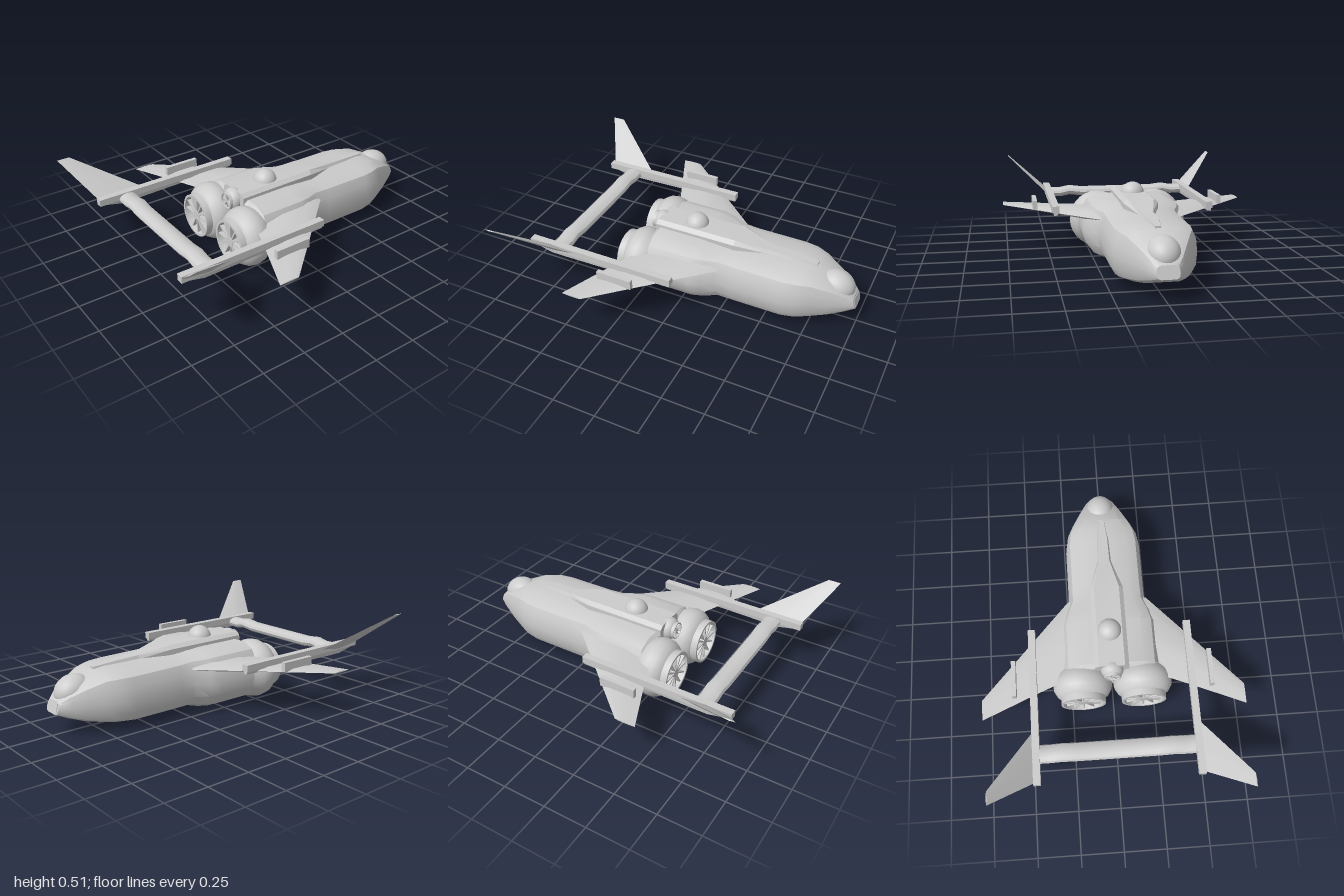
import * as THREE from 'three';
import { toCreasedNormals } from 'three/addons/utils/BufferGeometryUtils.js';

const material = new THREE.MeshStandardMaterial({ color: 0xcccccc, side: THREE.DoubleSide });

function part(parent, name, geometry, x = 0, y = 0, z = 0) {
  const mesh = new THREE.Mesh(geometry, material);
  mesh.name = name;
  mesh.position.set(x, y, z);
  parent.add(mesh);
  return mesh;
}

// Skin a row of closed rings of [x, y, z] points, with both ends capped.
function loft(rings, crease = 0.6) {
  const n = rings[0].length, pos = [], index = [];
  rings.forEach(r => r.forEach(p => pos.push(...p)));
  for (let i = 0; i < rings.length - 1; i++) {
    for (let j = 0; j < n; j++) {
      const a = i * n + j, b = i * n + (j + 1) % n;
      index.push(a, b, a + n, b, b + n, a + n);
    }
  }
  const last = (rings.length - 1) * n;
  for (let j = 1; j < n - 1; j++) {
    index.push(0, j + 1, j, last, last + j, last + j + 1);
  }
  // Turn the faces outward if the rings run the other way.
  const v = k => new THREE.Vector3(...pos.slice(k * 3, k * 3 + 3));
  let volume = 0;
  for (let k = 0; k < index.length; k += 3) {
    volume += v(index[k]).dot(v(index[k + 1]).cross(v(index[k + 2])));
  }
  if (volume < 0) index.reverse();
  const g = new THREE.BufferGeometry();
  g.setAttribute('position', new THREE.Float32BufferAttribute(pos, 3));
  g.setIndex(index);
  return toCreasedNormals(g, crease);
}

// Half sections as [share of width, share of height], bottom to top.
const noseShape = [[0, 0], [0.62, 0], [0.86, 0.07], [0.97, 0.22], [1, 0.45], [0.97, 0.7], [0.87, 0.88], [0.58, 0.98], [0, 1]];
const tailShape = [[0, 0], [0.55, 0], [0.8, 0.1], [0.95, 0.28], [1, 0.48], [0.95, 0.72], [0.82, 0.91], [0.6, 1], [0, 0.98]];

function hullRing([x, width, bottom, top, blend]) {
  const half = noseShape.map(([w, h], i) => {
    const z = THREE.MathUtils.lerp(w, tailShape[i][0], blend) * width;
    const y = bottom + THREE.MathUtils.lerp(h, tailShape[i][1], blend) * (top - bottom);
    return [x - (x > 0.95 ? (y - bottom) * 0.3 : 0), y, z];
  });
  return half.concat(half.slice(1, -1).reverse().map(([a, b, c]) => [a, b, -c]));
}

// Bulged engine with an open rear and spokes; it points along -x.
function engine(parent, name, y, z, r, x0, length) {
  const group = new THREE.Group();
  group.name = name;
  group.position.set(x0, y, z);
  parent.add(group);
  const profile = [[0.75, -0.15], [0.84, 0], [0.95, 0.14], [1, 0.35], [0.97, 0.55], [0.86, 0.72],
    [0.75, 0.79], [0.75, 1], [0.67, 1], [0.64, 0.8], [0, 0.76]];
  const shell = new THREE.LatheGeometry(profile.map(([a, b]) => new THREE.Vector2(a * r, b * length)), 28);
  part(group, 'engineShell', toCreasedNormals(shell, 0.6)).rotation.z = Math.PI / 2;
  for (let i = 0; i < 6; i++) {
    const spoke = new THREE.BoxGeometry(length * 0.14, r * 1.34, r * 0.05);
    part(group, 'engineSpoke', spoke, -length * 0.88).rotation.x = i * Math.PI / 6;
  }
  const hub = new THREE.CylinderGeometry(r * 0.16, r * 0.16, length * 0.2, 16);
  part(group, 'engineHub', hub, -length * 0.86).rotation.z = Math.PI / 2;
}

export function createModel() {
  const ship = new THREE.Group();
  ship.name = 'spaceship';

  // Hull stations: x, half width, bottom, top, blend toward the tail shape.
  part(ship, 'hull', loft([
    [-0.235, 0.28, 0.03, 0.34, 1], [-0.21, 0.31, 0.01, 0.36, 1], [0.06, 0.31, 0.01, 0.36, 1],
    [0.13, 0.285, 0.02, 0.355, 0.7], [0.21, 0.24, 0.04, 0.35, 0.2], [0.3, 0.235, 0.04, 0.345, 0],
    [0.6, 0.235, 0.04, 0.342, 0], [0.68, 0.222, 0.047, 0.34, 0], [0.75, 0.19, 0.057, 0.33, 0],
    [0.85, 0.14, 0.078, 0.285, 0], [0.93, 0.097, 0.105, 0.24, 0], [0.995, 0.06, 0.132, 0.2, 0],
  ].map(hullRing), 0.5));

  // Raised spine narrowing forward
  part(ship, 'spine', loft([
    [-0.24, 0.1, 0.395], [0.26, 0.1, 0.395], [0.45, 0.042, 0.36], [0.6, 0.038, 0.355], [0.74, 0.02, 0.342],
  ].map(([x, w, y]) => [[x, 0.28, w], [x, y - 0.02, w], [x, y, w * 0.75], [x, y, -w * 0.75], [x, y - 0.02, -w], [x, 0.28, -w]]), 0.3));

  // Cockpit canopy, nose intake and top turret
  const canopy = part(ship, 'canopy', new THREE.SphereGeometry(1, 28, 18), 0.862, 0.232, 0);
  canopy.scale.set(0.108, 0.088, 0.09);
  canopy.rotation.z = -0.3;
  part(ship, 'noseIntake', new THREE.BoxGeometry(0.03, 0.05, 0.09), 0.973, 0.163, 0).rotation.z = 0.29;
  part(ship, 'turret', new THREE.SphereGeometry(0.07, 28, 18), -0.015, 0.383, 0);

  engine(ship, 'topEngine', 0.335, 0, 0.067, -0.21, 0.085);

  for (const s of [1, -1]) {
    const side = s > 0 ? 'left' : 'right';
    engine(ship, side + 'Engine', 0.183, s * 0.18, 0.177, -0.21, 0.19);

    // Swept wing: z, leading x, trailing x, bottom, top
    part(ship, side + 'Wing', loft([
      [0.1, 0.26, -0.22, 0.25, 0.31], [0.24, 0.22, -0.26, 0.25, 0.305],
      [0.45, -0.01, -0.345, 0.258, 0.292], [0.77, -0.36, -0.48, 0.267, 0.274],
    ].map(([z, f, b, lo, hi]) => {
      const mid = (lo + hi) / 2, c = f - b;
      return [[f, mid, s * z], [f - c * 0.2, hi, s * z], [f - c * 0.6, hi, s * z],
        [b, mid, s * z], [f - c * 0.6, lo, s * z], [f - c * 0.2, lo, s * z]];
    }), 0.4));

    // Boom with its fairing, and the small pod on the wing
    part(ship, side + 'Boom', new THREE.BoxGeometry(0.92, 0.04, 0.042), -0.42, 0.305, s * 0.465);
    part(ship, side + 'BoomFairing', loft([
      [-0.88, 0.288], [-0.74, 0.257], [-0.65, 0.257], [0.035, 0.27],
    ].map(([x, y]) => [[x, 0.3, s * 0.448], [x, 0.3, s * 0.482], [x, y, s * 0.476], [x, y, s * 0.454]])));
    const pod = new THREE.BoxGeometry(0.215, 0.055, 0.026);
    part(ship, side + 'WingPod', pod, -0.255, 0.302, s * 0.578);

    // Canted tail fin
    part(ship, side + 'TailFin', loft([
      [0.47, 0.295, -0.56, -0.86, 0.012], [0.72, 0.51, -0.925, -1, 0.003],
    ].map(([z, y, f, b, t]) => [[f, y, s * z], [(f + b) / 2, y + t * 0.7, s * (z - t)],
      [b, y, s * z], [(f + b) / 2, y - t * 0.7, s * (z + t)]])));
  }

  // Crossbar between the booms, stepped near both ends
  const bar = [[-0.46, 0.29], [-0.38, 0.288], [-0.32, 0.3], [-0.24, 0.29], [0.24, 0.29], [0.32, 0.3], [0.38, 0.288], [0.46, 0.29]];
  part(ship, 'crossbar', loft(bar.map(([z, y]) => Array.from({ length: 12 }, (_, i) => {
    const a = i * Math.PI / 6;
    return [-0.703 + 0.054 * Math.cos(a), y + 0.032 * Math.sin(a), z];
  }))));

  return ship;
}
